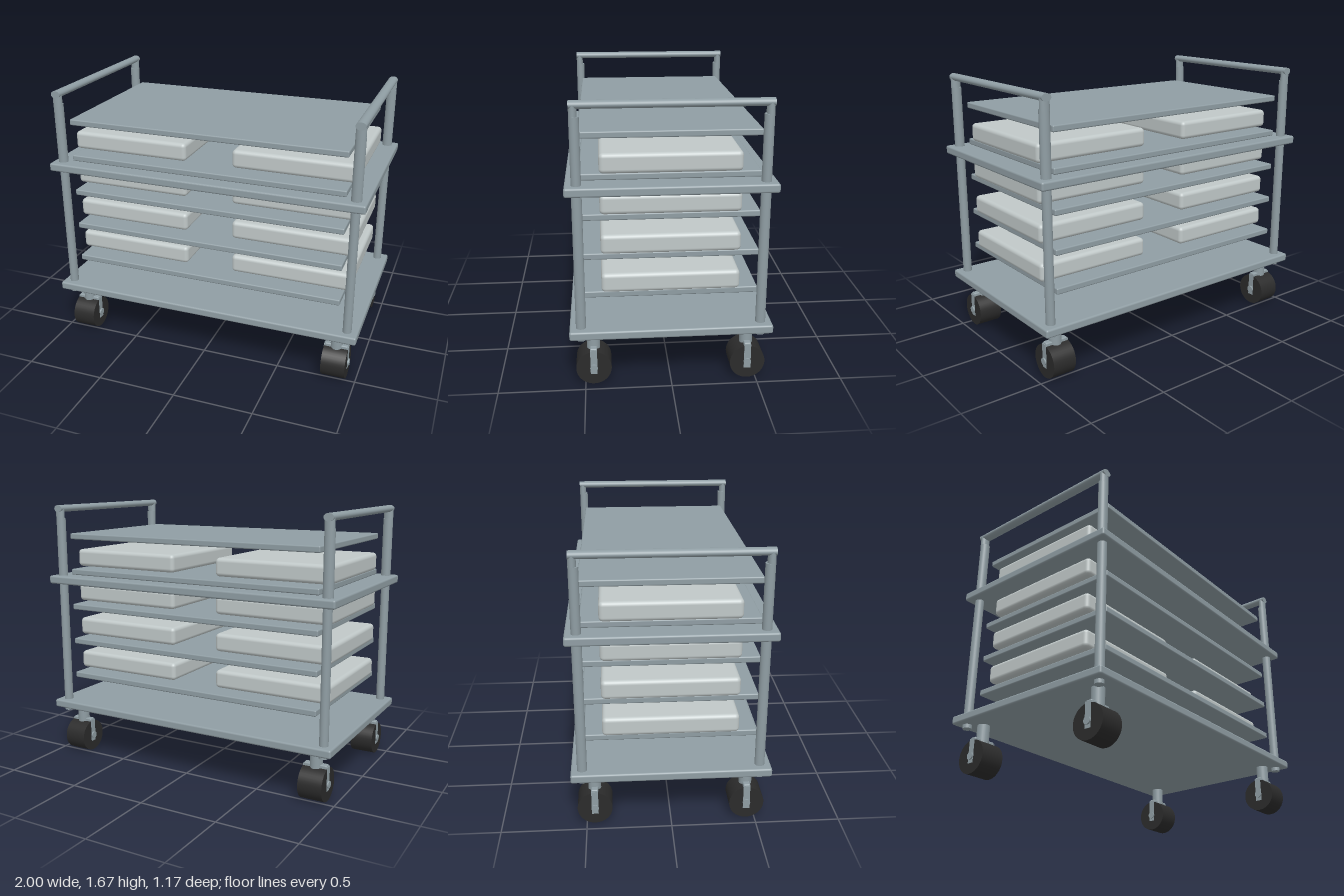
import * as THREE from 'three';
import { RoundedBoxGeometry } from 'three/addons/geometries/RoundedBoxGeometry.js';

const material = (name, color) => {
  const m = new THREE.MeshStandardMaterial({ color });
  m.name = name;
  return m;
};

export function createModel() {
  const steel = material('steel grey', 0x8f9da3);
  const trayGrey = material('pale tray grey', 0xc0c8c8);
  const rubber = material('black rubber', 0x2b2b2b);
  const cart = new THREE.Group();
  cart.name = 'shelfTrolley';

  const add = (parent, name, geometry, mat, x, y, z) => {
    const mesh = new THREE.Mesh(geometry, mat);
    mesh.name = name;
    mesh.position.set(x, y, z);
    parent.add(mesh);
    return mesh;
  };
  const slab = (w, h, d, r) => new RoundedBoxGeometry(w, h, d, 3, r);
  // Upright tube with an oval section
  const tube = (rx, rz, y0, y1) =>
    new THREE.CylinderGeometry(1, 1, y1 - y0, 24).scale(rx, 1, rz);

  // Two wide decks
  for (const [name, y] of [['lowerDeck', 0.34], ['upperDeck', 1.19]])
    add(cart, name, slab(2, 0.052, 1.166, 0.012), steel, 0, y, 0);

  // Five inner shelves, the lower four carrying two trays each
  for (let i = 0; i < 5; i++) {
    const y = 0.54 + i * 0.2335;
    add(cart, 'shelf', slab(1.75, 0.038, 1.01, 0.008), steel, 0, y, 0);
    if (i === 4) continue;
    for (const side of [-1, 1])
      add(cart, 'tray', slab(0.76, 0.114, 0.79, 0.025), trayGrey, side * 0.53, y + 0.081, 0);
  }

  for (const side of [-1, 1]) {
    // End frames: posts, thicker upper sleeves and a push handle
    const frame = new THREE.Group();
    frame.name = side > 0 ? 'leftEndFrame' : 'rightEndFrame';
    frame.position.x = side * 0.934;
    cart.add(frame);
    for (const end of [-1, 1]) {
      add(frame, 'post', tube(0.027, 0.029, 0.29, 1.2), steel, 0, 0.745, end * 0.517);
      add(frame, 'upperPost', tube(0.031, 0.028, 1.2, 1.59), steel, 0, 1.395, end * 0.517);
      add(frame, 'handleLeg', tube(0.03, 0.0225, 1.58, 1.655), steel, 0, 1.6175, end * 0.522);
    }
    const bar = new THREE.CylinderGeometry(1, 1, 1.089, 24)
      .rotateX(Math.PI / 2).scale(0.03, 0.0225, 1);
    add(frame, 'handleBar', bar, steel, 0, 1.6525, 0);

    // Casters under the four corners
    for (const end of [-1, 1]) {
      const caster = new THREE.Group();
      caster.name = 'caster';
      caster.position.set(side * 0.865, 0, end * 0.45);
      cart.add(caster);
      const across = (r, w) => new THREE.CylinderGeometry(r, r, w, 40).rotateZ(Math.PI / 2);
      add(caster, 'wheel', across(0.103, 0.15), rubber, 0, 0.104, 0);
      add(caster, 'axle', across(0.022, 0.172), steel, 0, 0.106, 0);
      add(caster, 'swivelStem', tube(0.038, 0.038, 0.2, 0.33), steel, 0, 0.265, 0);
      add(caster, 'forkBridge', slab(0.145, 0.03, 0.042, 0.008), steel, 0, 0.21, 0);
      for (const s of [-1, 1])
        add(caster, 'forkArm', new THREE.BoxGeometry(0.01, 0.15, 0.04), steel, s * 0.072, 0.14, 0);
    }
  }
  return cart;
}
